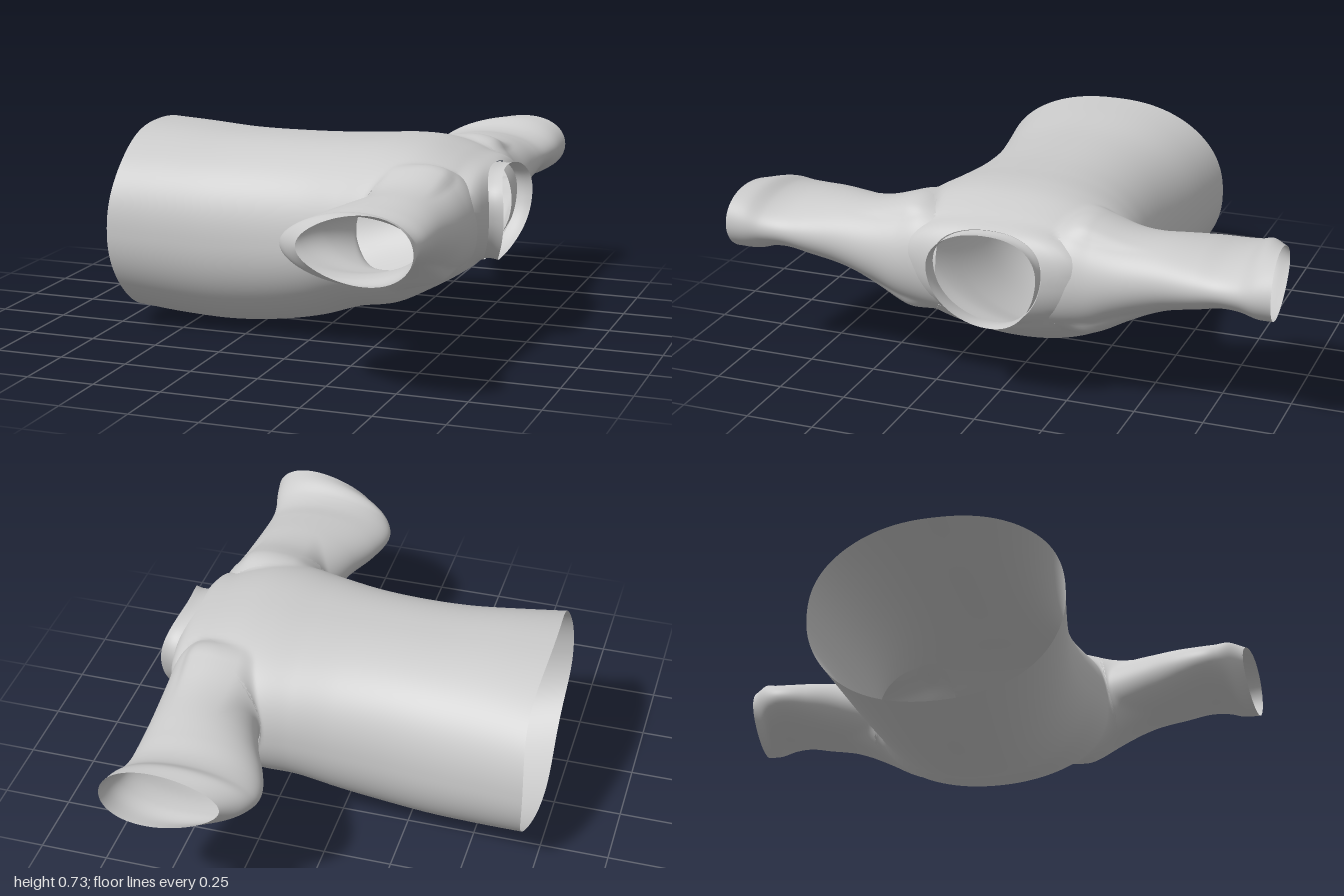
import * as THREE from 'three';

const material = new THREE.MeshStandardMaterial({ color: 0xcccccc, side: THREE.DoubleSide });
const { smoothstep } = THREE.MathUtils;
const ZC = -0.01; // centre line of the body

// Smooth profile through rows of [position, ...values]
function profile(rows) {
  const size = rows[0].length - 1;
  const curve = new THREE.CubicInterpolant(
    rows.map(r => r[0]), rows.flatMap(r => r.slice(1)), size, new Float32Array(size));
  return t => Array.from(curve.evaluate(t));
}

// Torso along x: half width, bottom, top
const torsoAt = profile([
  [-0.71, 0.455, 0.03, 0.735], [-0.55, 0.43, 0.012, 0.728], [-0.35, 0.405, 0.002, 0.716],
  [-0.18, 0.395, 0.015, 0.715], [0, 0.403, 0.05, 0.718], [0.15, 0.425, 0.1, 0.725],
  [0.3, 0.455, 0.132, 0.732], [0.4, 0.45, 0.182, 0.725], [0.5, 0.42, 0.24, 0.698],
  [0.56, 0.36, 0.28, 0.675], [0.595, 0.28, 0.3, 0.662], [0.61, 0.195, 0.3, 0.655],
]);

// Sleeve along |z|: back x, shoulder x, bottom, top, teardrop amount
const sleeveAt = profile([
  [0.19, 0.3, 0.632, 0.29, 0.655, 0.1], [0.28, 0.28, 0.633, 0.295, 0.678, 0.1],
  [0.36, 0.265, 0.628, 0.31, 0.662, 0.1], [0.45, 0.25, 0.62, 0.345, 0.647, 0.08],
  [0.6, 0.2, 0.605, 0.385, 0.64, 0.05], [0.72, 0.145, 0.6, 0.402, 0.628, 0.02],
  [0.81, 0.12, 0.6, 0.418, 0.618, 0], [0.88, 0.127, 0.61, 0.418, 0.627, 0.03],
  [0.94, 0.155, 0.625, 0.41, 0.652, 0.1], [1, 0.22, 0.635, 0.425, 0.655, 0.2],
]);

const power = (v, e) => Math.sign(v) * Math.abs(v) ** e;
const roundness = up => (up > 0 ? 2.35 : 2.1); // flatter on top than below

function torsoPoint(x, a) {
  const [w, y0, y1] = torsoAt(x);
  const e = 2 / roundness(Math.sin(a));
  const c = power(Math.cos(a), e), s = power(Math.sin(a), e);
  // neck edge bows forward at the sides and narrows below, hem waves slightly
  const end = smoothstep(x, 0.54, 0.61);
  const neck = end * (0.05 * c * c + 0.0125 * s - 0.0075);
  const hem = smoothstep(-x, 0.5, 0.71) * 0.014 * (0.5 - 0.5 * Math.cos(4 * a));
  return [x + neck + hem, (y0 + y1) / 2 + s * (y1 - y0) / 2, ZC + w * c * (1 + 0.22 * s * end)];
}

// Rough signed distance to the torso
function torsoField([x, y, z]) {
  if (x < -0.71 || x > 0.61) return 1;
  const [w, y0, y1] = torsoAt(x), h = (y1 - y0) / 2, v = (y - y0) / h - 1;
  const e = roundness(v);
  return ((Math.abs((z - ZC) / w) ** e + Math.abs(v) ** e) ** (1 / e) - 1) * Math.min(w, h);
}

const TILT = 0.03, SHIFT = -0.003;
function sleevePoint(t, a, side) {
  const [x0, x1, y0, y1, tear] = sleeveAt(t);
  const rx = (x1 - x0) / 2, c = Math.cos(a), x = (x0 + x1) / 2 + rx * c;
  const y = (y0 + y1) / 2 + TILT * rx * c + (y1 - y0) / 2 * Math.sin(a) * (1 + tear * c);
  // cuff is cut at a slant
  const slant = 0.04 * smoothstep(t, 0.8, 1) * (1 - (x - 0.2) / 0.43);
  return [x, y, side * (t - slant) + SHIFT];
}

// Rough signed distance to the sleeves
function sleeveField([x, y, z]) {
  const t = Math.abs(z - SHIFT);
  if (t < 0.19) return 1;
  const [x0, x1, y0, y1, tear] = sleeveAt(t), rx = (x1 - x0) / 2, ry = (y1 - y0) / 2;
  const u = (x - (x0 + x1) / 2) / rx;
  const v = (y - (y0 + y1) / 2 - TILT * rx * u) / (ry * Math.max(0.3, 1 + tear * u));
  return (Math.hypot(u, v) - 1) * Math.min(rx, ry);
}

// Union of torso and sleeves, rounded by k where they meet
function blendField(p, k) {
  const a = torsoField(p), b = sleeveField(p);
  return Math.min(a, b) - Math.max(k - Math.abs(a - b), 0) ** 2 / (4 * k);
}

// Moves a point near the armhole on to the rounded union
function settle(p) {
  const k = 0.12 * smoothstep(Math.abs(p[2]), 0.21, 0.34) * smoothstep(p[0], 0.22, 0.36)
    * (1 - smoothstep(p[0], 0.52, 0.6));
  if (k < 0.002 || Math.abs(torsoField(p) - sleeveField(p)) > k) return p;
  let q = p;
  for (let n = 0; n < 4; n++) {
    const f = blendField(q, k), d = 0.001;
    const g = q.map((_, i) => (blendField(q.map((v, j) => v + (i === j ? d : 0)), k) - f) / d);
    const step = THREE.MathUtils.clamp(f / Math.max(0.2, g[0] ** 2 + g[1] ** 2 + g[2] ** 2), -0.03, 0.03);
    q = q.map((v, i) => v - step * g[i]);
  }
  return q;
}

// Tube of rings point(s, angle); cells buried in the other part's field are left out
function tube(name, rings, around, point, other) {
  const pos = [], hidden = [], index = [];
  for (let i = 0; i <= rings; i++) for (let j = 0; j < around; j++) {
    const p = point(i / rings, j / around * Math.PI * 2);
    hidden.push(other !== undefined && other(p) < 0);
    pos.push(...(other ? settle(p) : p));
  }
  for (let i = 0; i < rings; i++) for (let j = 0; j < around; j++) {
    const k = (j + 1) % around;
    const a = i * around + j, b = i * around + k, c = a + around, d = b + around;
    for (const tri of [[a, b, c], [b, d, c]]) if (!tri.every(v => hidden[v])) index.push(...tri);
  }
  const geometry = new THREE.BufferGeometry();
  geometry.setAttribute('position', new THREE.Float32BufferAttribute(pos, 3));
  geometry.setIndex(index);
  geometry.computeVertexNormals();
  const mesh = new THREE.Mesh(geometry, material);
  mesh.name = name;
  return mesh;
}

export function createModel() {
  const group = new THREE.Group();
  group.name = 'shirt';

  // Body, open at hem, neck and armholes
  group.add(tube('torso', 150, 144, (s, a) => torsoPoint(-0.71 + 1.32 * s, a), sleeveField));

  // Sleeves, open at the cuffs
  for (const side of [1, -1]) {
    group.add(tube(side > 0 ? 'frontSleeve' : 'backSleeve', 100, 100,
      (s, a) => sleevePoint(0.19 + 0.81 * s, a, side), torsoField));
  }

  // Collar band standing up from the neck edge
  group.add(tube('collar', 6, 80, (s, a) => {
    const [x, y, z] = torsoPoint(0.61, a);
    const grow = 0.98 - 0.02 * Math.sin(s * Math.PI) + 0.01 * s;
    return [x - 0.006 + 0.058 * s, 0.4775 + (y - 0.4775) * grow, ZC + (z - ZC) * grow];
  }));
  return group;
}
